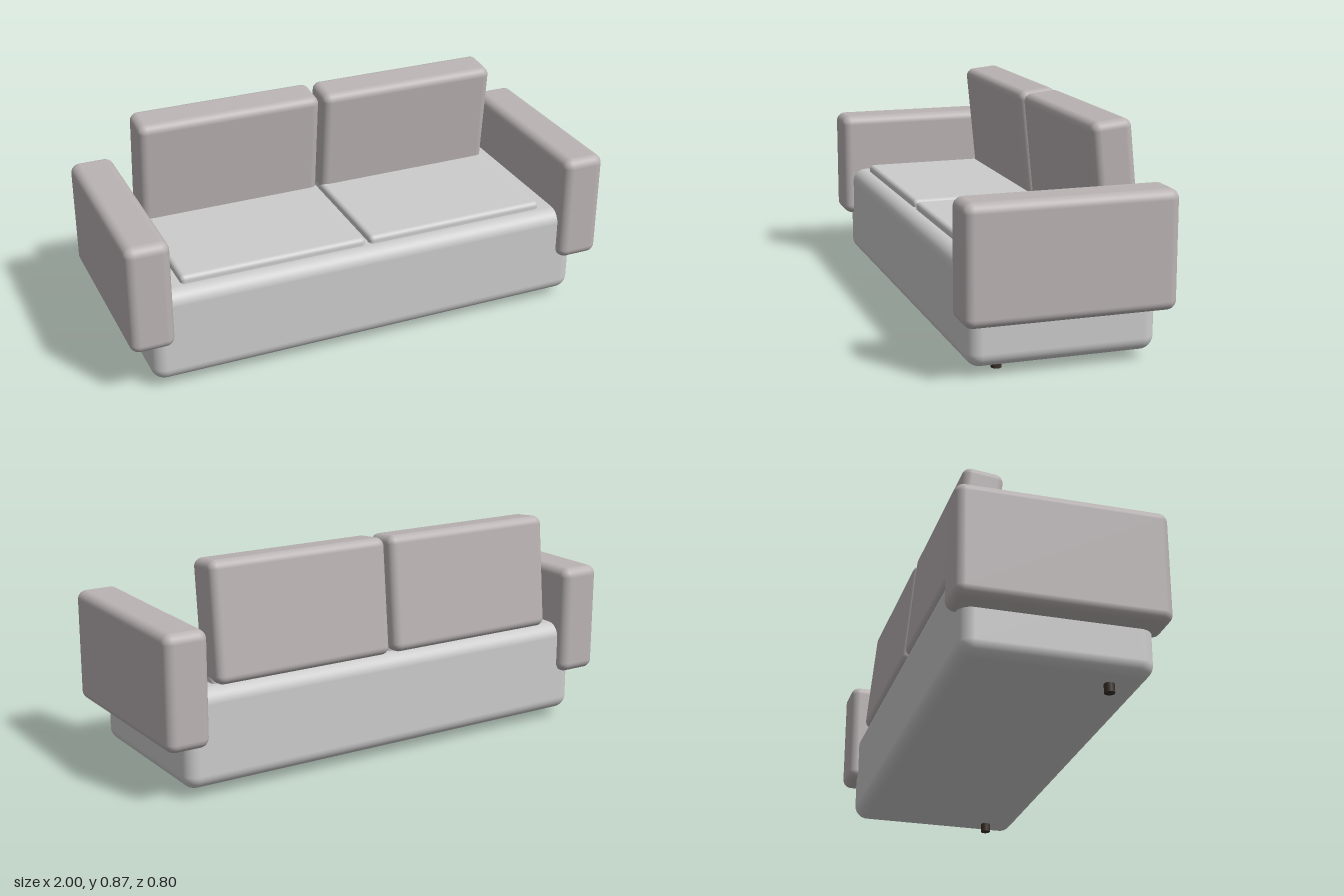
import * as THREE from 'three';
import { RoundedBoxGeometry } from 'three/addons/geometries/RoundedBoxGeometry.js';

const grey = new THREE.MeshStandardMaterial({ color: 0xcccccc });
const warmGrey = new THREE.MeshStandardMaterial({ color: 0xbab3b4 });
const dark = new THREE.MeshStandardMaterial({ color: 0x3a3029 });

export function createModel() {
  const sofa = new THREE.Group();
  sofa.name = 'sofa';

  const add = (name, geometry, material, x, y, z) => {
    const mesh = new THREE.Mesh(geometry, material);
    mesh.name = name;
    mesh.position.set(x, y, z);
    sofa.add(mesh);
    return mesh;
  };
  const padded = (w, h, d, r) => new RoundedBoxGeometry(w, h, d, 6, r);

  // Upholstered base
  add('base', padded(1.82, 0.38, 0.72, 0.055), grey, 0, 0.225, 0);

  for (const [side, s] of [['left', 1], ['right', -1]]) {
    // Armrest wrapping the end of the base
    add(side + 'Armrest', padded(0.174, 0.445, 0.8, 0.037), warmGrey, s * 0.913, 0.4325, 0);

    // Thin seat cushion sunk into the base
    add(side + 'SeatCushion', padded(0.758, 0.105, 0.6, 0.018), grey, s * 0.389, 0.3925, 0);

    // Back cushion, its top tipped slightly forward
    const back = add(side + 'BackCushion', padded(0.758, 0.46, 0.158, 0.033), warmGrey, s * 0.389, 0.64, -0.252);
    back.rotation.x = 0.1;

    // Short round front foot
    add(side + 'FrontFoot', new THREE.CylinderGeometry(0.02, 0.02, 0.06, 20), dark, s * 0.795, 0.03, 0.22);
  }
  return sofa;
}
